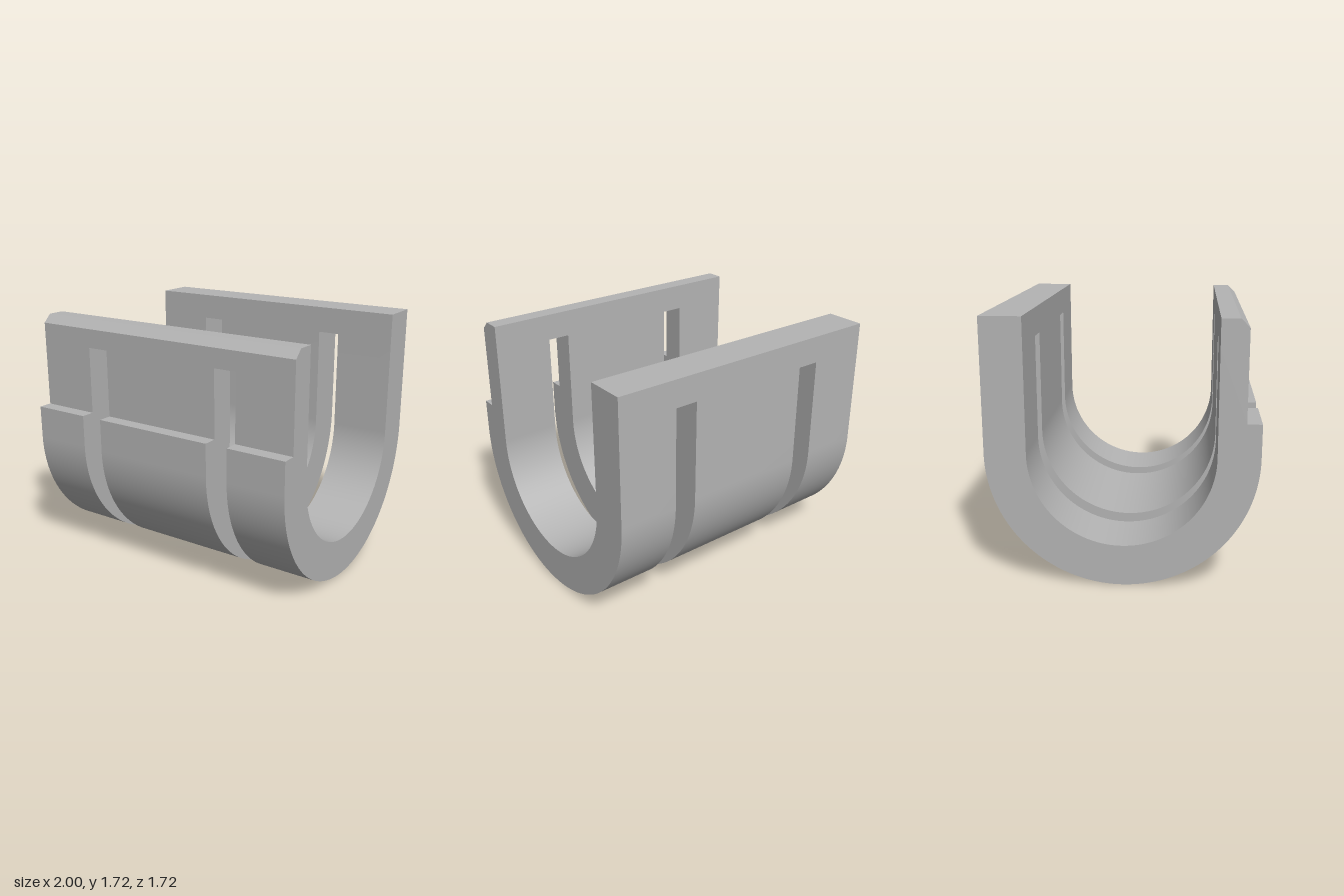
import * as THREE from 'three';
import { toCreasedNormals } from 'three/addons/utils/BufferGeometryUtils.js';

const OUTER = 0.86, INNER = 0.593;        // channel radii, also the wall faces
const TOP = 1.72, SLOT_TOP = 1.537;       // wall height and upper end of the slots
const STEP = 1.08, LIP = 0.765;           // ledge height and thinner front wall face
const SLOT_IN = 0.435, SLOT_OUT = 0.59;   // slot sides along x

export function createModel() {
  const model = new THREE.Group();
  model.name = 'slottedChannel';
  const grey = new THREE.MeshStandardMaterial({ color: 0xb4b4b4 });
  grey.name = 'grey';

  // Extrudes a (z, y) profile along x between two positions
  function addBar(name, shape, x0, x1) {
    const geometry = new THREE.ExtrudeGeometry(shape, { depth: x1 - x0, bevelEnabled: false, curveSegments: 64 });
    geometry.rotateY(-Math.PI / 2);
    geometry.translate(x1, 0, 0);
    const mesh = new THREE.Mesh(toCreasedNormals(geometry, 0.4), grey);
    mesh.name = name;
    model.add(mesh);
  }

  // U-shaped section below the slot tops, with a ledge on the front
  const u = new THREE.Shape();
  u.moveTo(-OUTER, SLOT_TOP);
  u.lineTo(-OUTER, OUTER);
  u.absarc(0, OUTER, OUTER, Math.PI, Math.PI * 2, false);
  u.lineTo(OUTER, STEP);
  u.lineTo(LIP, STEP);
  u.lineTo(LIP, SLOT_TOP);
  u.lineTo(INNER, SLOT_TOP);
  u.lineTo(INNER, OUTER);
  u.absarc(0, OUTER, INNER, 0, -Math.PI, true);
  u.lineTo(-INNER, SLOT_TOP);
  u.closePath();
  addBar('rightCradle', u, -1, -SLOT_OUT);
  addBar('middleCradle', u, -SLOT_IN, SLOT_IN);
  addBar('leftCradle', u, SLOT_OUT, 1);

  // Continuous rails joining the sections above the slots
  const polygon = (points) => new THREE.Shape(points.map(([z, y]) => new THREE.Vector2(z, y)));
  addBar('frontRail', polygon([
    [INNER, SLOT_TOP], [LIP, SLOT_TOP], [LIP, 1.665], [0.71, TOP], [INNER, TOP],
  ]), -1, 1);
  addBar('backRail', polygon([
    [-OUTER, SLOT_TOP], [-INNER, SLOT_TOP], [-INNER, TOP], [-OUTER, TOP],
  ]), -1, 1);

  return model;
}
